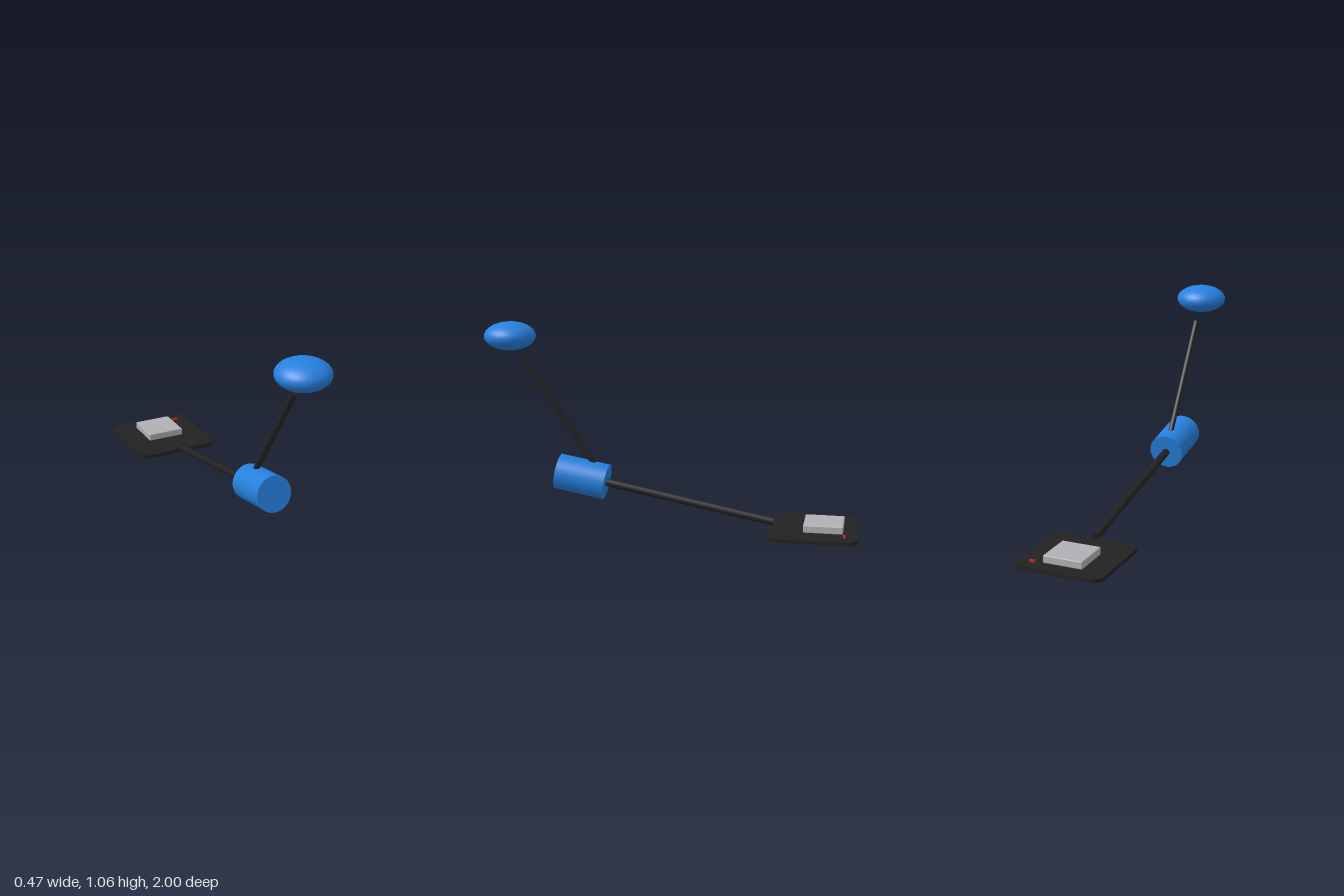
import * as THREE from 'three';
import { RoundedBoxGeometry } from 'three/addons/geometries/RoundedBoxGeometry.js';

const material = (name, color) => {
  const m = new THREE.MeshStandardMaterial({ color });
  m.name = name;
  return m;
};

export function createModel() {
  const group = new THREE.Group();
  const black = material('black', 0x222222);
  const blue = material('blue', 0x2680dd);
  const silver = material('silver', 0xb0b0b5);
  const red = material('red', 0xcc2222);

  const add = (name, geometry, mat, x = 0, y = 0, z = 0) => {
    const mesh = new THREE.Mesh(geometry, mat);
    mesh.name = name;
    mesh.position.set(x, y, z);
    group.add(mesh);
    return mesh;
  };

  // Cylinder between two [y, z] points in the centre plane
  const rod = (name, a, b, radius, sides, mat) => {
    const from = new THREE.Vector3(0, ...a);
    const to = new THREE.Vector3(0, ...b);
    const dir = to.clone().sub(from);
    const mid = from.clone().add(to).multiplyScalar(0.5);
    const mesh = add(name, new THREE.CylinderGeometry(radius, radius, dir.length(), sides), mat, ...mid.toArray());
    mesh.quaternion.setFromUnitVectors(new THREE.Vector3(0, 1, 0), dir.normalize());
  };

  // Base plate with rounded corners
  const h = 0.233, r = 0.055;
  const outline = new THREE.Shape();
  outline.absarc(h - r, h - r, r, 0, Math.PI / 2);
  outline.absarc(r - h, h - r, r, Math.PI / 2, Math.PI);
  outline.absarc(r - h, r - h, r, Math.PI, Math.PI * 1.5);
  outline.absarc(h - r, r - h, r, Math.PI * 1.5, Math.PI * 2);
  outline.closePath();
  const plate = new THREE.ExtrudeGeometry(outline, { depth: 0.02, bevelEnabled: false, curveSegments: 8 });
  plate.rotateX(-Math.PI / 2);
  add('basePlate', plate, black, 0, 0, -0.767);

  // Raised pad and indicator light on the plate
  add('pad', new RoundedBoxGeometry(0.208, 0.04, 0.206, 2, 0.005), silver, 0, 0.039, -0.818);
  add('indicatorLight', new THREE.BoxGeometry(0.028, 0.011, 0.012), red, 0.155, 0.0255, -0.93);

  // Arms and the drum that joins them
  rod('lowerArm', [0.038, -0.553], [0.216, 0.38], 0.021, 8, black);
  rod('drum', [0.211, 0.346], [0.260, 0.612], 0.095, 32, blue);
  rod('upperArm', [0.288, 0.4], [0.867, 0.788], 0.0155, 8, black);

  // Flattened head floating above the upper arm
  const head = add('head', new THREE.SphereGeometry(0.137, 32, 20), blue, 0, 0.988, 0.863);
  head.scale.y = 0.55;

  return group;
}
